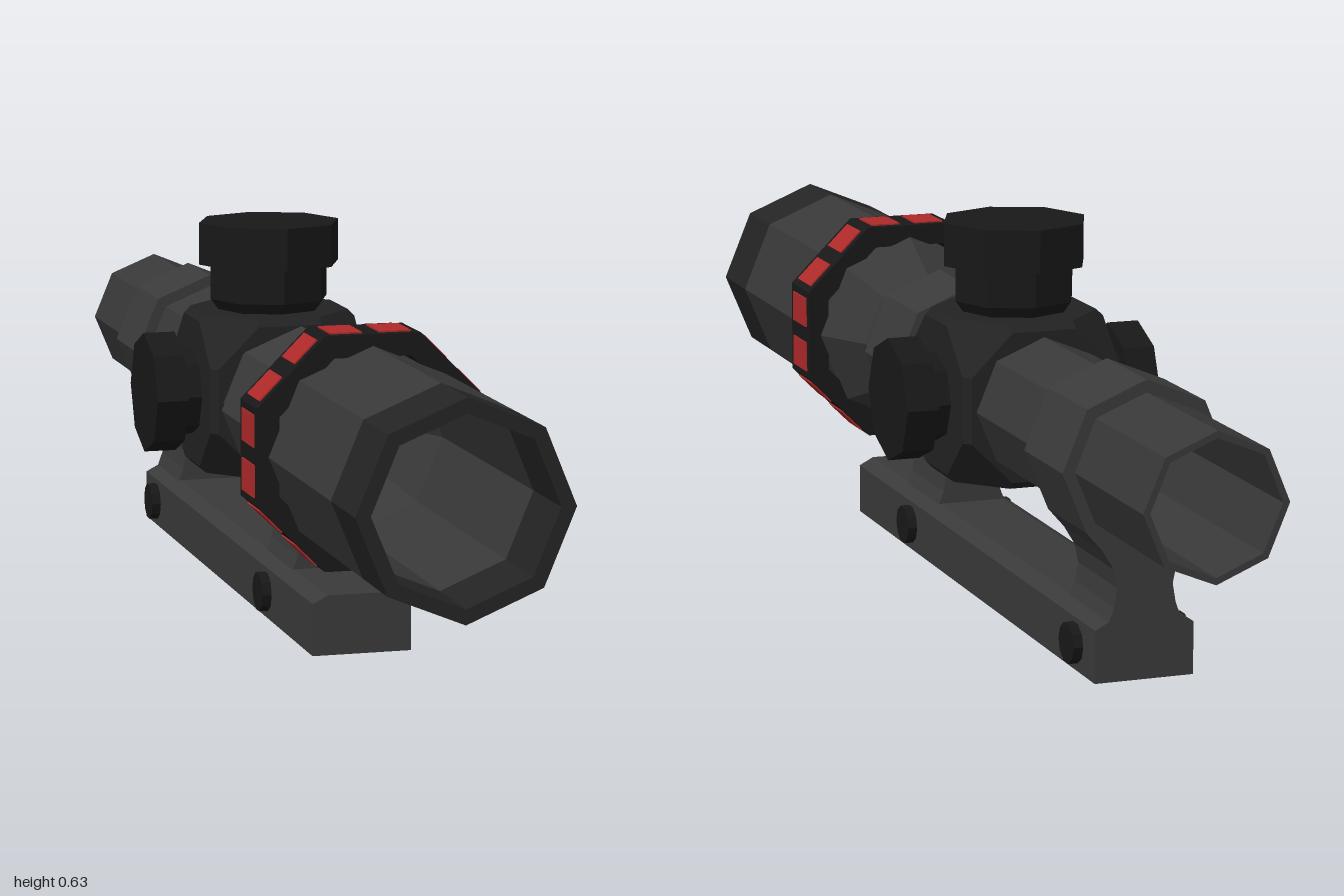
import * as THREE from 'three';

const AXIS = 0.338; // height of the optical axis
const MID = -0.133; // z of the turret block
const mat = (color) => new THREE.MeshStandardMaterial({ color, flatShading: true, side: THREE.DoubleSide });

export function createModel() {
  const root = new THREE.Group();
  const tubeMat = mat(0x383838), mountMat = mat(0x3a3a3a), rimMat = mat(0x242424);
  const darkMat = mat(0x181818), blockMat = mat(0x222222), redMat = mat(0xb02a2a), blackMat = mat(0x080808);

  const add = (name, geo, material, x = 0, y = 0, z = 0, parent = root) => {
    const m = new THREE.Mesh(geo, material);
    m.name = name;
    m.position.set(x, y, z);
    parent.add(m);
    return m;
  };
  // eight-sided turned part along z, profile given as [radius, z]
  const turned = (profile, phase = 0) =>
    new THREE.LatheGeometry(profile.map(([r, z]) => new THREE.Vector2(r, z)), 8, phase).rotateX(Math.PI / 2);
  const extrudeZ = (shape, z0, z1) =>
    new THREE.ExtrudeGeometry(shape, { depth: z1 - z0, bevelEnabled: false }).translate(0, 0, z0);
  const mirrored = (half) => [...half, ...half.slice().reverse().filter(([x]) => x > 0).map(([x, y]) => [-x, y])];
  const toShape = (pts) => new THREE.Shape(pts.map(([x, y]) => new THREE.Vector2(x, y)));

  // hollow main tube with flared front
  add('mainTube', turned([
    [0.106, -1], [0.117, -1], [0.117, 0.31], [0.17, 0.41], [0.17, 0.87],
    [0.146, 0.87], [0.146, 0.41], [0.106, 0.31], [0.106, -1],
  ]), tubeMat, 0, AXIS);
  add('frontHood', turned([
    [0.146, 0.87], [0.17, 0.87], [0.17, 1], [0.146, 1], [0.146, 0.87],
  ]), rimMat, 0, AXIS);

  // adjustment ring with two red patches on each flat
  const ring = new THREE.Group();
  ring.name = 'adjustmentRing';
  ring.position.set(0, AXIS, 0.457);
  root.add(ring);
  add('ringBody', turned([
    [0.165, -0.052], [0.204, -0.052], [0.204, 0.052], [0.165, 0.052], [0.165, -0.052],
  ], Math.PI / 8), darkMat, 0, 0, 0, ring);
  for (let i = 0; i < 8; i++) {
    for (const s of [-1, 1]) {
      const patch = new THREE.BoxGeometry(0.052, 0.006, 0.074).translate(s * 0.04, 0.188, 0);
      add('redPatch', patch.rotateZ(i * Math.PI / 4), redMat, 0, 0, 0, ring);
    }
  }

  // turret block: cube with cut corners, open along the optical axis
  const a = 0.137, b = 0.125, c = 0.055;
  const oct = (p, q) => [[p, q], [q, p], [-q, p], [-p, q], [-p, -q], [-q, -p], [q, -p], [p, -q]];
  const hole = [...Array(8)].map((_, i) => [0.112 * Math.cos(i * Math.PI / 4), 0.112 * Math.sin(i * Math.PI / 4)]);
  const loops = [
    [hole, -0.143], [oct(b, c), -0.143], [oct(a, c), -0.131], [oct(a, b), -0.055],
    [oct(a, b), 0.055], [oct(a, c), 0.131], [oct(b, c), 0.143], [hole, 0.143],
  ];
  const pos = [], index = [];
  loops.forEach(([pts, z], j) => pts.forEach(([x, y], i) => {
    pos.push(x, y, z);
    if (j === 0) return;
    const k = (i + 1) % 8, p = (j - 1) * 8, q = j * 8;
    index.push(p + i, p + k, q + k, p + i, q + k, q + i);
  }));
  const blockGeo = new THREE.BufferGeometry();
  blockGeo.setAttribute('position', new THREE.Float32BufferAttribute(pos, 3));
  blockGeo.setIndex(index);
  blockGeo.computeVertexNormals();
  add('turretBlock', blockGeo, blockMat, 0, AXIS + 0.002, MID);

  // top turret
  const cyl = (r0, r1, h) => new THREE.CylinderGeometry(r1, r0, h, 8);
  add('topTurretFoot', cyl(0.085, 0.103, 0.025), darkMat, 0, 0.483, MID);
  add('topTurretNeck', cyl(0.103, 0.103, 0.062), darkMat, 0, 0.526, MID);
  add('topTurretCap', cyl(0.123, 0.123, 0.072), darkMat, 0, 0.591, MID);

  // side turrets
  for (const s of [-1, 1]) {
    add('sideTurretNeck', cyl(0.075, 0.075, 0.035).rotateZ(Math.PI / 2), darkMat, s * 0.152, AXIS, MID);
    add('sideTurretCap', cyl(0.103, 0.103, 0.054).rotateZ(Math.PI / 2), darkMat, s * 0.194, AXIS, MID);
  }

  // mounting rail
  const rail = toShape(mirrored([[0.082, 0], [0.082, 0.085], [0.057, 0.098]]));
  add('rail', extrudeZ(rail, -0.72, 0.45), mountMat);

  // two clamps, each a waisted post flowing into an eight-sided ring, with a cross bolt
  const clamp = toShape(mirrored([
    [0.06, 0.095], [0.051, 0.12], [0.046, 0.15], [0.052, 0.18], [0.07, 0.21],
    [0.097, AXIS - 0.097], [0.137, AXIS], [0.097, AXIS + 0.097], [0, AXIS + 0.137],
  ]));
  clamp.holes.push(new THREE.Path(hole.map(([x, y]) => new THREE.Vector2(x, y + AXIS))));
  for (const z of [0.162, -0.637]) {
    add('clamp', extrudeZ(clamp, z - 0.084, z + 0.084), mountMat);
    add('crossBolt', new THREE.CylinderGeometry(0.033, 0.033, 0.196, 10).rotateZ(Math.PI / 2), darkMat, 0, 0.045, z);
  }

  // reticle: three arms of bars and ticks around a centre dot
  const reticle = new THREE.Group();
  reticle.name = 'reticle';
  reticle.position.set(0, AXIS - 0.002, MID);
  root.add(reticle);
  add('centreDot', new THREE.CylinderGeometry(0.003, 0.003, 0.002, 8).rotateX(Math.PI / 2), blackMat, 0, 0, 0, reticle);
  for (const turn of [0, Math.PI, -Math.PI / 2]) {
    const arm = new THREE.Group();
    arm.name = 'reticleArm';
    arm.rotation.z = turn;
    reticle.add(arm);
    const bar = (name, x0, x1, h) =>
      add(name, new THREE.BoxGeometry(x1 - x0, h, 0.002), blackMat, (x0 + x1) / 2, 0, 0, arm);
    bar('thickBar', 0.07, 0.104, 0.007);
    bar('thinBar', 0.014, 0.07, 0.0025);
    for (const x of [0.022, 0.036, 0.05, 0.064]) bar('tick', x - 0.0012, x + 0.0012, 0.015);
  }
  return root;
}
